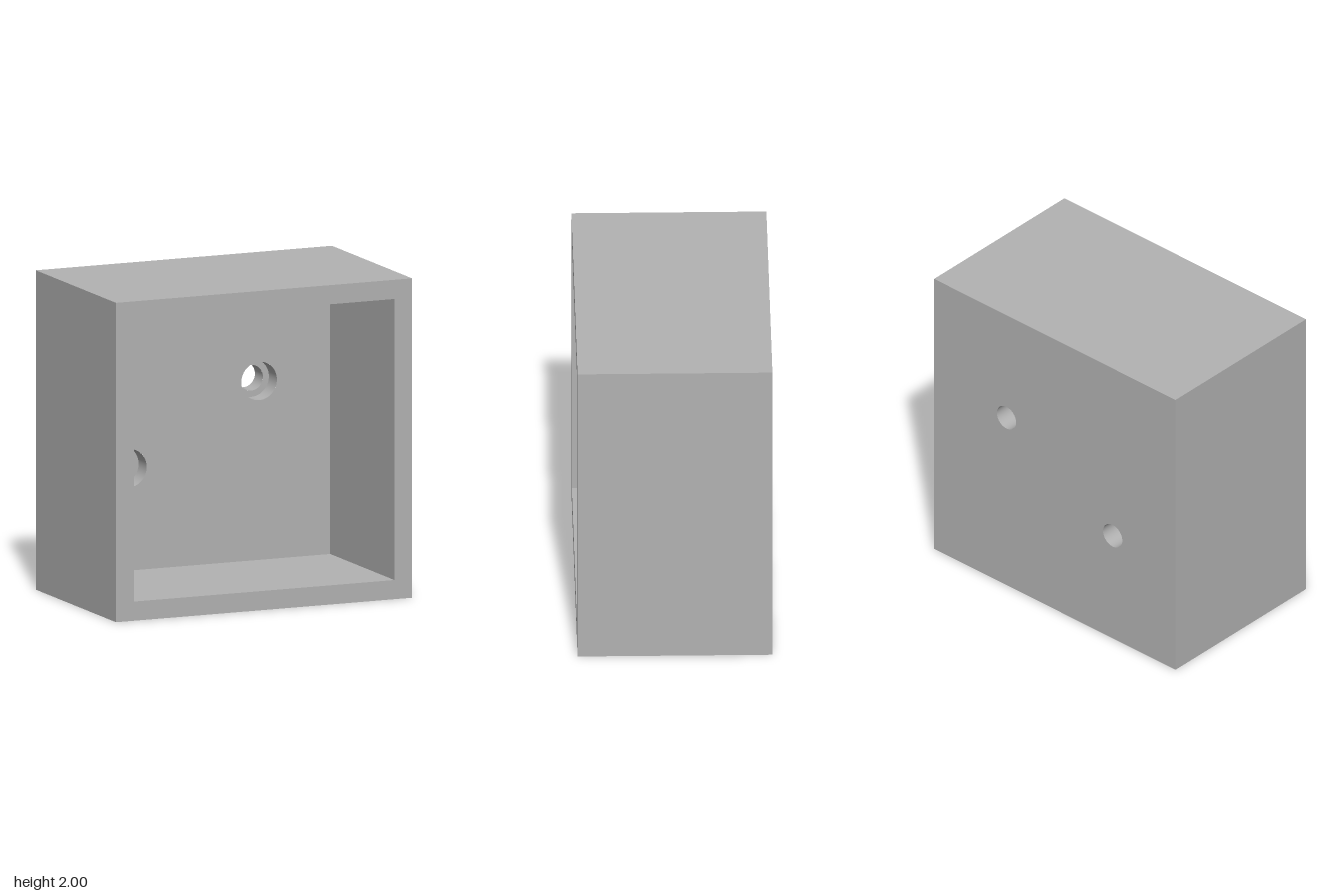
import * as THREE from 'three';

const HOLES = [[0.4, 1.24], [-0.48, 0.76]];
const FRONT = 0.6, FLOOR = -0.36, LEDGE = -0.48, BACK = -0.6;
const OUTER = 2, INNER = 1.76, BORE = 0.12, DRILL = 0.08;

// Turn a geometry inside out
function flip(g) {
  g.index.array.reverse();
  const n = g.attributes.normal;
  for (let i = 0; i < n.array.length; i++) n.array[i] *= -1;
  return g;
}

// Square outline centred on (0, 1)
function square(size, Type = THREE.Shape) {
  const h = size / 2;
  return new Type([[-h, -h], [h, -h], [h, h], [-h, h]].map(([x, y]) => new THREE.Vector2(x, 1 + y)));
}

const circle = (Type, x, y, r) => new Type().absarc(x, y, r, 0, Math.PI * 2, false);

// Flat face at depth z, facing the front
function face(shape, holes, z) {
  shape.holes.push(...holes);
  return new THREE.ShapeGeometry(shape, 48).translate(0, 0, z);
}

// Four sides of a square tube, without its ends
function sides(size, z0, z1) {
  const g = new THREE.BoxGeometry(size, size, z1 - z0);
  g.setIndex(Array.from(g.index.array.slice(0, 24)));
  g.clearGroups();
  return g.translate(0, 1, (z0 + z1) / 2);
}

// Smooth wall of a round hole
function holeWall(x, y, r, z0, z1) {
  const g = new THREE.CylinderGeometry(r, r, z1 - z0, 48, 1, true);
  return flip(g.rotateX(Math.PI / 2).translate(x, y, (z0 + z1) / 2));
}

export function createModel() {
  const model = new THREE.Group();
  model.name = 'mountingBox';
  const grey = new THREE.MeshStandardMaterial({ color: 0xb2b2b2 });
  grey.name = 'grey';
  const add = (name, geometry) => {
    const mesh = new THREE.Mesh(geometry, grey);
    mesh.name = name;
    model.add(mesh);
  };
  const cut = (r) => HOLES.map(([x, y]) => circle(THREE.Path, x, y, r));

  // Open-fronted box shell
  add('outerWalls', sides(OUTER, BACK, FRONT));
  add('innerWalls', flip(sides(INNER, FLOOR, FRONT)));
  add('frontRim', face(square(OUTER), [square(INNER, THREE.Path)], FRONT));
  add('cavityFloor', face(square(INNER), cut(BORE), FLOOR));
  add('backFace', flip(face(square(OUTER), cut(DRILL), BACK)));

  // Counterbored screw holes
  for (const [x, y] of HOLES) {
    add('counterbore', holeWall(x, y, BORE, LEDGE, FLOOR));
    add('counterboreLedge', face(circle(THREE.Shape, x, y, BORE), [circle(THREE.Path, x, y, DRILL)], LEDGE));
    add('screwHole', holeWall(x, y, DRILL, BACK, LEDGE));
  }
  return model;
}
